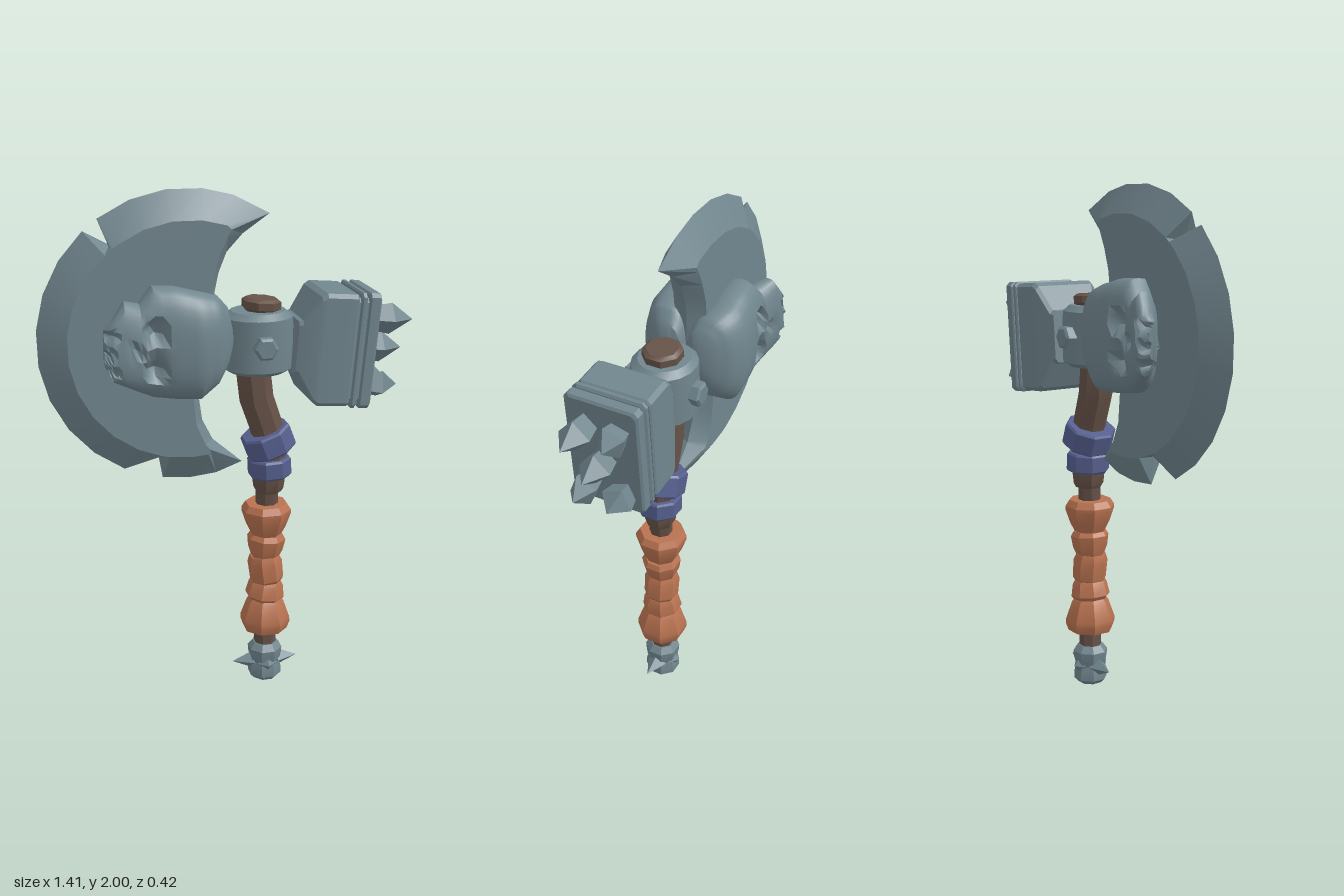
import * as THREE from 'three';
import { toCreasedNormals } from 'three/addons/utils/BufferGeometryUtils.js';

const mat = (name, color) => {
  const m = new THREE.MeshStandardMaterial({ color });
  m.name = name;
  return m;
};

// Skin a closed solid over rings of [x, y, z]; rings run counter-clockwise around the sweep direction
function loft(rings, crease = 0.5, capTris = null) {
  const n = rings[0].length, last = (rings.length - 1) * n, index = [];
  for (let i = 0; i < rings.length - 1; i++) {
    for (let j = 0; j < n; j++) {
      const k = (j + 1) % n, a = i * n + j, b = i * n + k;
      index.push(a, b, b + n, a, b + n, a + n);
    }
  }
  const tris = capTris || Array.from({ length: n - 2 }, (_, j) => [0, j + 1, j + 2]);
  for (const [a, b, c] of tris) index.push(a, c, b, last + a, last + b, last + c);
  const g = new THREE.BufferGeometry();
  g.setAttribute('position', new THREE.Float32BufferAttribute(rings.flat(2), 3));
  g.setIndex(index);
  return toCreasedNormals(g, crease);
}

// Solid of revolution-like rings [radius, y, xOffset, tilt] about the y axis
function turned(profile, sides = 8, crease = 0.5) {
  return loft(profile.map(([r, y, x = 0, tilt = 0]) =>
    Array.from({ length: sides }, (_, j) => {
      const a = ((j + 0.5) / sides) * Math.PI * 2, u = Math.sin(a) * r;
      return [x + u * Math.cos(tilt), y + u * Math.sin(tilt), Math.cos(a) * r];
    })), crease);
}

// Chamfered rectangular sections [x, halfHeight, halfDepth] along x
function block(sections, c = 0.015) {
  return loft(sections.map(([x, h, d]) => [
    [h, -d + c], [h, d - c], [h - c, d], [-h + c, d],
    [-h, d - c], [-h, -d + c], [-h + c, -d], [h - c, -d],
  ].map(([y, z]) => [x, y, z])), 0.3);
}

function bladeGeometry() {
  const cx = -0.16, cy = 1.45, R = 0.55, r = 0.445, t = 0.065;
  const at = (deg, q) => {
    const a = (deg * Math.PI) / 180;
    return [cx + q * Math.cos(a), cy + q * Math.sin(a)];
  };
  const edge = [[0.156, 1.9]], face = [[0.0, 1.855]];
  const arc = (angles) => angles.forEach((a) => { edge.push(at(a, R)); face.push(at(a, r)); });
  const notch = (a) => { edge.push(at(a, r + 0.002)); face.push(at(a, r)); };
  arc([71, 83, 97, 111, 125]);
  notch(128);
  arc([132, 146, 160, 174, 188, 202, 216, 230, 244]);
  notch(256);
  arc([260, 271]);
  edge.push(at(282, R), [0.055, 0.95]);
  face.push(at(279, r), [-0.083, 1.03]);
  // concave back of the crescent, with the face set in a little
  const back = [[-0.06, 1.05, 0.04], [-0.1, 1.13, 0.035], [-0.115, 1.24, 0.03], [-0.08, 1.34, 0.03],
    [-0.05, 1.45, 0.03], [-0.05, 1.62, 0.03], [-0.035, 1.69, 0.035], [-0.005, 1.765, 0.04], [0.055, 1.83, 0.07]];
  for (const [x, y, s] of back) { edge.push([x, y]); face.push([x - s, y]); }
  const tris = THREE.ShapeUtils.triangulateShape(face.map((p) => new THREE.Vector2(...p)), []);
  const ring = (pts, z) => pts.map(([x, y]) => [x, y, z]);
  return loft([ring(face, -t), ring(edge, 0), ring(face, t)], 0.3, tris);
}

// Skull relief: crown towards +x, teeth towards the cutting edge, sockets pressed in by a rule
function skullGeometry(side) {
  const keys = [ // x, low y, high y, back z, front z
    [-0.485, 1.41, 1.54, 0.15, 0.185], [-0.455, 1.35, 1.57, 0.13, 0.212], [-0.41, 1.325, 1.635, 0.1, 0.205],
    [-0.35, 1.29, 1.615, 0.04, 0.19], [-0.3, 1.265, 1.672, 0, 0.185], [-0.22, 1.255, 1.668, 0, 0.197],
    [-0.13, 1.25, 1.645, 0, 0.205], [-0.06, 1.3, 1.625, 0, 0.177], [-0.02, 1.36, 1.58, 0.01, 0.13],
    [0, 1.42, 1.5, 0.04, 0.09]];
  const dents = [ // x, y, radius x, radius y, depth
    [-0.3, 1.525, 0.05, 0.045, 0.06], [-0.3, 1.385, 0.05, 0.045, 0.06], [-0.375, 1.455, 0.03, 0.025, 0.04],
    [-0.48, 1.45, 0.04, 0.02, 0.05], [-0.47, 1.52, 0.04, 0.02, 0.04], [-0.47, 1.39, 0.04, 0.02, 0.04]];
  const rings = [], n = 36;
  for (let i = 0; i < keys.length - 1; i++) {
    for (let s = 0; s < 3; s++) {
      if (i === keys.length - 2 && s) break;
      rings.push(keys[i].map((v, k) => v + ((keys[i + 1][k] - v) * s) / 3));
    }
  }
  rings.push(keys[keys.length - 1]);
  const rows = rings.map(([x, lo, hi, zb, zf]) => Array.from({ length: n }, (_, j) => {
    const a = (j / n) * Math.PI * 2, c = Math.cos(a), s = Math.sin(a);
    const y = (lo + hi) / 2 + ((hi - lo) / 2) * Math.sign(c) * Math.abs(c) ** 0.85;
    let z = (zb + zf) / 2 + ((zf - zb) / 2) * Math.sign(s) * Math.abs(s) ** 0.75;
    if (s > 0) {
      for (const [dx, dy, rx, ry, d] of dents) {
        z -= d * Math.max(0, 1 - Math.hypot((x - dx) / rx, (y - dy) / ry)) ** 0.7;
      }
    }
    return [x, y, z * side];
  }));
  if (side < 0) rows.forEach((row) => row.reverse());
  return loft(rows, 0.6);
}

export function createModel() {
  const metal = mat('steel', 0x71868e), wood = mat('dark wood', 0x665248);
  const leather = mat('orange leather', 0xb87250), cloth = mat('blue band', 0x56608f);
  const model = new THREE.Group();
  model.name = 'battleAxe';
  const add = (name, geo, material, x = 0, y = 0, z = 0, parent = model) => {
    const m = new THREE.Mesh(geo, material);
    m.name = name;
    m.position.set(x, y, z);
    parent.add(m);
    return m;
  };

  // Bent shaft with end cap and lower ring
  add('shaft', turned([[0.045, 0.12, 0.155], [0.045, 0.86, 0.157], [0.062, 0.92, 0.165], [0.066, 1.02, 0.168, 0.2],
    [0.066, 1.1, 0.147, 0.35], [0.067, 1.2, 0.112, 0.25], [0.067, 1.3, 0.1, 0], [0.065, 1.42, 0.115, -0.1],
    [0.062, 1.57, 0.13, -0.1]]), wood);
  add('shaftCap', turned([[0.06, -0.025], [0.075, -0.015], [0.075, 0.012], [0.06, 0.022]]), wood, 0.128, 1.568)
    .rotation.z = -0.08;
  add('shaftRing', turned([[0.052, 0.82], [0.06, 0.835], [0.066, 0.885]]), wood, 0.163);

  // Blue bands
  const band = (r, h) => turned([[r * 0.93, -h], [r, -h + 0.008], [r, h - 0.008], [r * 0.93, h]], 8, 0.3);
  add('upperBand', band(0.101, 0.046), cloth, 0.16, 1.027).rotation.z = 0.36;
  add('lowerBand', band(0.086, 0.038), cloth, 0.166, 0.923).rotation.z = 0.05;

  // Leather wraps, each [middle y, tilt, profile of radius and local y]
  const wraps = [
    [0.7, 0, [[0.062, -0.06], [0.08, -0.025], [0.099, 0.03], [0.099, 0.045], [0.083, 0.07]]],
    [0.595, -0.08, [[0.055, -0.055], [0.07, -0.02], [0.077, 0.025], [0.065, 0.045]]],
    [0.49, 0.12, [[0.058, -0.06], [0.068, -0.045], [0.07, 0.03], [0.058, 0.06]]],
    [0.395, -0.12, [[0.065, -0.04], [0.079, -0.025], [0.07, 0.025], [0.058, 0.045]]],
    [0.29, 0, [[0.09, -0.065], [0.101, -0.035], [0.1, -0.015], [0.075, 0.055], [0.06, 0.075]]],
  ];
  wraps.forEach(([y, tilt, p], i) => {
    add('gripWrap' + (i + 1), turned(p), leather, 0.155, y).rotation.z = tilt;
  });

  // Pommel with four studs
  add('pommel', turned([[0.05, 0], [0.068, 0.018], [0.068, 0.045], [0.06, 0.075], [0.068, 0.11],
    [0.07, 0.135], [0.05, 0.16]], 8, 0.3), metal, 0.155);
  const stud = (len) => turned([[0.04, 0], [0.001, len]], 4, 0.1);
  for (let i = 0; i < 4; i++) {
    const pivot = new THREE.Group();
    pivot.name = 'pommelStud';
    pivot.position.set(0.155, 0.077, 0);
    pivot.rotation.y = (i * Math.PI) / 2;
    model.add(pivot);
    const s = add('stud', stud(i % 2 ? 0.03 : 0.085), metal, 0.048, 0, 0, pivot);
    s.rotation.set(0, Math.PI / 4, -Math.PI / 2, 'ZYX');
  }

  // Blade and the two skull reliefs
  add('blade', bladeGeometry(), metal);
  for (const side of [1, -1]) add(side > 0 ? 'frontSkull' : 'backSkull', skullGeometry(side), metal);

  // Collar and its bolts
  add('collar', turned([[0.105, -0.115], [0.132, -0.098], [0.136, 0], [0.132, 0.098], [0.105, 0.12]], 16, 0.6),
    metal, 0.115, 1.425).scale.z = 0.9;
  for (const side of [1, -1]) {
    add('collarBolt', turned([[0.046, 0], [0.046, 0.055], [0.036, 0.063]], 6, 0.2), metal, 0.113, 1.428, side * 0.092)
      .rotation.x = (side * Math.PI) / 2;
  }

  // Hammer head, slightly tilted
  const hammer = new THREE.Group();
  hammer.name = 'hammerHead';
  hammer.position.set(0.42, 1.4, 0);
  hammer.rotation.z = -0.08;
  model.add(hammer);
  add('hammerBlock', block([[-0.18, 0.1, 0.105], [-0.165, 0.105, 0.112], [-0.11, 0.2, 0.138], [-0.09, 0.214, 0.141],
    [0.025, 0.214, 0.141], [0.032, 0.208, 0.136]]), metal, 0, 0, 0, hammer);
  add('hammerCore', block([[0.02, 0.2, 0.128], [0.1, 0.2, 0.128]]), metal, 0, 0, 0, hammer);
  for (const [x, w] of [[0.04, 0.024], [0.072, 0.046]]) {
    add('hammerPlate', block([[x, 0.214, 0.136], [x + 0.005, 0.221, 0.141], [x + w - 0.007, 0.221, 0.141],
      [x + w, 0.212, 0.133]]), metal, 0, 0, 0, hammer);
  }
  // Striking spikes: y, z, length, twist
  const spikes = [[0.115, 0.064, 0.158, 0], [0.115, -0.064, 0.11, 0.5], [-0.01, 0, 0.15, 0],
    [-0.14, 0.064, 0.125, 0.4], [-0.14, -0.066, 0.12, -0.4]];
  for (const [y, z, len, twist] of spikes) {
    const s = add('hammerSpike', turned([[0.045, -0.01], [0.06, len * 0.45], [0.001, len]], 4, 0.1),
      metal, 0.115, y, z, hammer);
    s.rotation.set(0, Math.PI / 4 + twist, -Math.PI / 2, 'ZYX');
  }
  return model;
}
